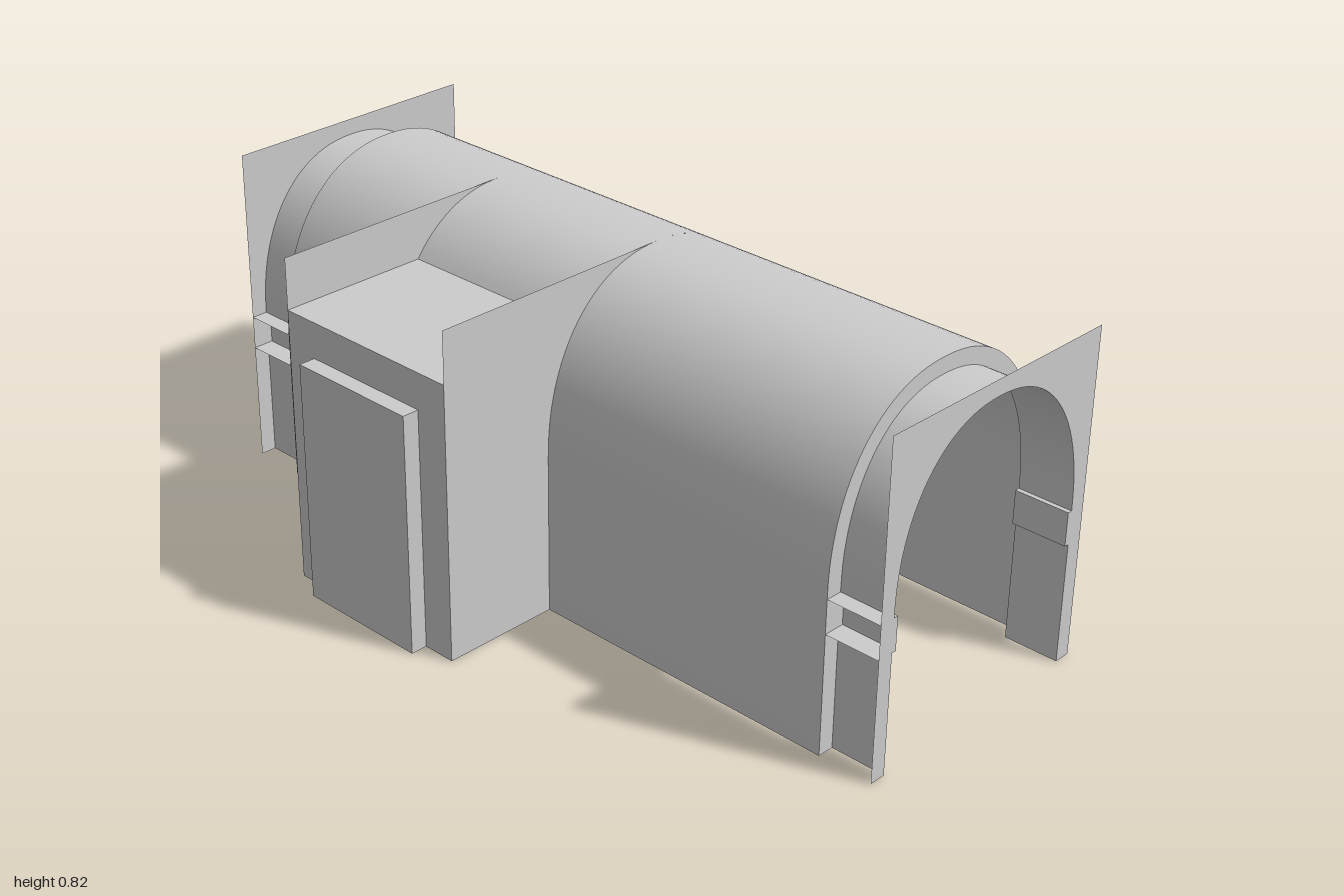
import * as THREE from 'three';
import { toCreasedNormals } from 'three/addons/utils/BufferGeometryUtils.js';

const material = new THREE.MeshStandardMaterial({ color: 0xcccccc, side: THREE.DoubleSide });

// Main dimensions
const CX = 0.172, TOP = 0.817, SPRING = 0.39, POWER = 2.2;
const OUTER = 0.344, INNER = 0.302, INNER_TOP = 0.777, LIP = 0.29;
const IMPOST_LOW = 0.302, IMPOST_HIGH = 0.386;
const END = 1, VAULT_END = 0.86;
const Z0 = -0.465, Z1 = 0.05, ANNEX_X = -0.475, ROOF_Y = 0.69;
const NICHE_X = -0.517, NICHE_TOP = 0.6, NICHE_Z0 = -0.38, NICHE_Z1 = -0.035;

// Points over the arch from angle a0 (PI is the -x side) to a1 (0 is the +x side)
function arc(halfWidth, top, spring, a0 = Math.PI, a1 = 0, steps = 48) {
  const points = [];
  for (let i = 0; i <= steps; i++) {
    const a = a0 + (a1 - a0) * i / steps, c = Math.cos(a), s = Math.max(0, Math.sin(a));
    points.push([
      CX + halfWidth * Math.sign(c) * Math.abs(c) ** (2 / POWER),
      spring + (top - spring) * s ** (2 / POWER),
    ]);
  }
  return points;
}

// Thin surface: an xy profile swept from z0 to z1
function sheet(name, profile, z0, z1) {
  const position = [], index = [];
  profile.forEach(([x, y], i) => {
    position.push(x, y, z0, x, y, z1);
    if (i) {
      const a = 2 * (i - 1);
      index.push(a, a + 1, a + 2, a + 1, a + 3, a + 2);
    }
  });
  const geometry = new THREE.BufferGeometry();
  geometry.setAttribute('position', new THREE.Float32BufferAttribute(position, 3));
  geometry.setIndex(index);
  const mesh = new THREE.Mesh(toCreasedNormals(geometry, 0.6), material);
  mesh.name = name;
  return mesh;
}

// Flat panel in the xy plane at the given z
function panel(name, outline, z = 0) {
  const shape = new THREE.Shape(outline.map(([x, y]) => new THREE.Vector2(x, y)));
  const mesh = new THREE.Mesh(new THREE.ShapeGeometry(shape), material);
  mesh.position.z = z;
  mesh.name = name;
  return mesh;
}

export function createModel() {
  const model = new THREE.Group();
  model.name = 'vaultedPassage';
  const left = CX - OUTER, right = CX + OUTER;

  // Barrel vault, with its side cut away where the annex opens
  const vaultArc = arc(OUTER, TOP, SPRING);
  const fullProfile = [[left, 0], ...vaultArc, [right, 0]];
  const cut = Math.PI - Math.asin(((ROOF_Y - SPRING) / (TOP - SPRING)) ** (POWER / 2));
  const cutArc = arc(OUTER, TOP, SPRING, cut, 0);
  model.add(
    sheet('vaultBack', fullProfile, -VAULT_END, Z0),
    sheet('vaultMiddle', [...cutArc, [right, 0]], Z0, Z1),
    sheet('vaultFront', fullProfile, Z1, VAULT_END),
  );

  // Inner arch outline, stepping inward at the imposts
  const jamb = (side) => [
    [CX + side * INNER, 0], [CX + side * INNER, IMPOST_LOW],
    [CX + side * LIP, IMPOST_LOW], [CX + side * LIP, IMPOST_HIGH],
    [CX + side * INNER, IMPOST_HIGH],
  ];
  const innerProfile = [...jamb(-1), ...arc(INNER, INNER_TOP, SPRING), ...jamb(1).reverse()];
  const innerBack = [...innerProfile].reverse();

  // Portal at each end
  for (const side of [-1, 1]) {
    const portal = new THREE.Group();
    portal.name = side > 0 ? 'frontPortal' : 'backPortal';
    const z0 = Math.min(side * VAULT_END, side * END), z1 = Math.max(side * VAULT_END, side * END);
    portal.add(
      sheet('portalArch', innerProfile, z0, z1),
      panel('portalFace', [[left, 0], [left, TOP], [right, TOP], [right, 0], ...innerBack], side * END),
      panel('vaultEndRing', [...fullProfile, ...innerBack], side * VAULT_END),
    );
    // Impost shelves, open to the outside
    for (const s of [-1, 1]) {
      for (const y of [IMPOST_LOW, IMPOST_HIGH]) {
        portal.add(sheet('impostShelf', [[CX + s * LIP, y], [CX + s * OUTER, y]], z0, z1));
      }
    }
    model.add(portal);
  }

  // Side annex: walls that rise to the crown, a lower roof and an end wall
  const annex = new THREE.Group();
  annex.name = 'sideAnnex';
  const wallOutline = [
    [ANNEX_X, 0], [left, 0], ...arc(OUTER, TOP, SPRING, Math.PI, Math.PI / 2, 24), [ANNEX_X, TOP],
  ];
  annex.add(
    panel('annexWallBack', wallOutline, Z0),
    panel('annexWallFront', wallOutline, Z1),
    sheet('annexRoof', [[ANNEX_X, ROOF_Y], cutArc[0]], Z0, Z1),
  );
  const endWall = panel('annexEndWall', [
    [Z0, 0], [NICHE_Z0, 0], [NICHE_Z0, NICHE_TOP], [NICHE_Z1, NICHE_TOP],
    [NICHE_Z1, 0], [Z1, 0], [Z1, ROOF_Y], [Z0, ROOF_Y],
  ]);
  endWall.rotation.y = -Math.PI / 2;
  endWall.position.x = ANNEX_X;
  annex.add(endWall);

  // Shallow door niche behind the opening in the end wall
  const nicheSide = [[NICHE_X, 0], [ANNEX_X, 0], [ANNEX_X, NICHE_TOP], [NICHE_X, NICHE_TOP]];
  annex.add(
    sheet('nicheShell', [[NICHE_X, 0], [NICHE_X, NICHE_TOP], [ANNEX_X, NICHE_TOP]], NICHE_Z0, NICHE_Z1),
    panel('nicheSideBack', nicheSide, NICHE_Z0),
    panel('nicheSideFront', nicheSide, NICHE_Z1),
  );
  model.add(annex);
  return model;
}
